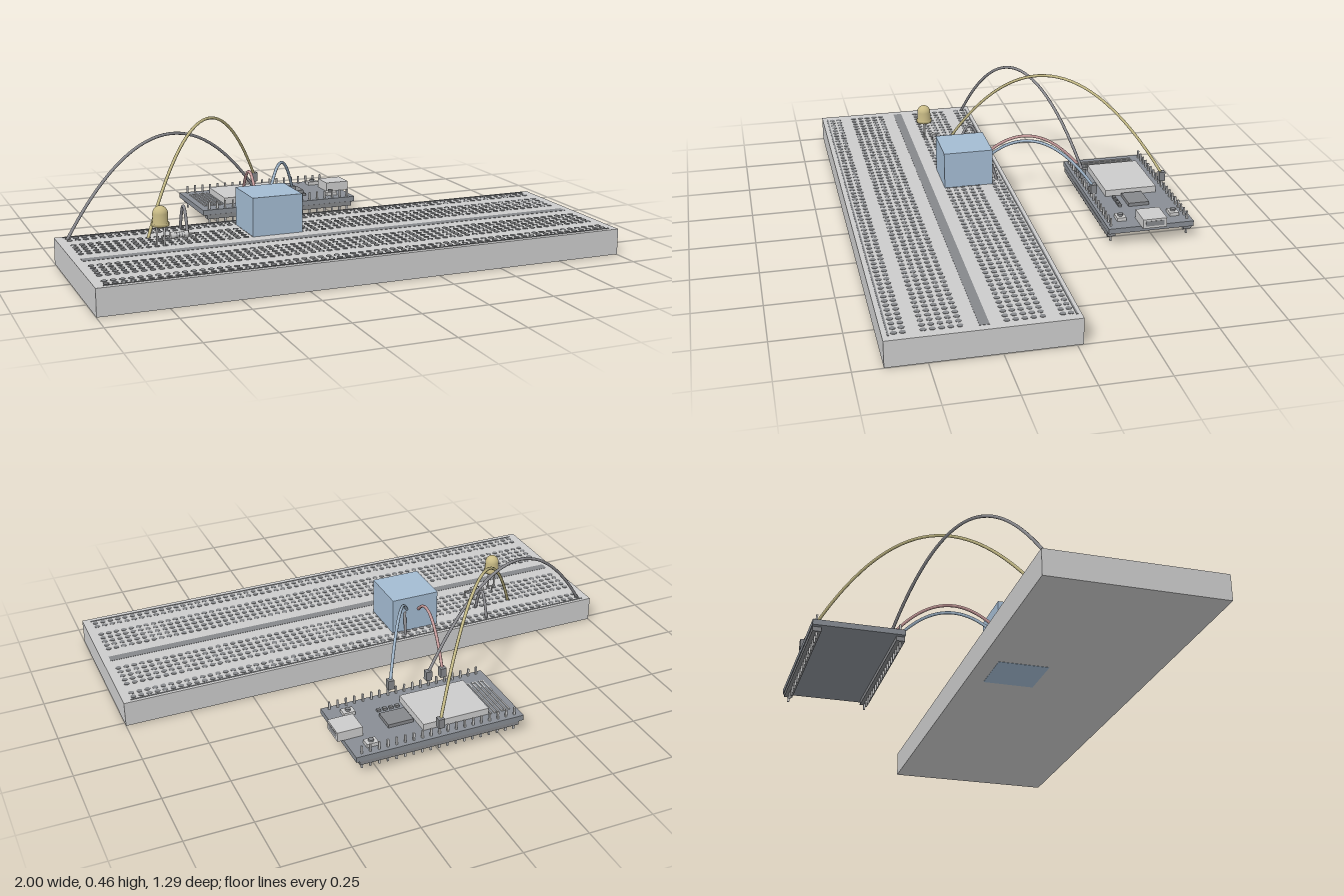
import * as THREE from 'three';
import { mergeGeometries } from 'three/addons/utils/BufferGeometryUtils.js';

const mat = (color = 0xcccccc) => new THREE.MeshStandardMaterial({ color });
const GREY = mat(), DARK = mat(0x85878a), PCB = mat(0x888d94), BLUE = mat(0xa3bbd2), AMBER = mat(0xc9bb85);
const WIRE_GREY = mat(0x8c8c90), WIRE_YELLOW = mat(0xc4ba86), WIRE_RED = mat(0xc59a9a), WIRE_BLUE = mat(0x9db2c6);

// Box geometry given by its limits on each axis
function box(x0, x1, y0, y1, z0, z1) {
  return new THREE.BoxGeometry(x1 - x0, y1 - y0, z1 - z0)
    .translate((x0 + x1) / 2, (y0 + y1) / 2, (z0 + z1) / 2);
}

function add(parent, name, geometries, material) {
  const list = Array.isArray(geometries) ? geometries : [geometries];
  const mesh = new THREE.Mesh(list.length > 1 ? mergeGeometries(list) : list[0], material);
  mesh.name = name;
  parent.add(mesh);
  return mesh;
}

function group(parent, name) {
  const g = new THREE.Group();
  g.name = name;
  parent.add(g);
  return g;
}

// Arched wire between two points, with its highest point near peak
function wire(parent, name, a, b, peak, material) {
  const start = new THREE.Vector3(...a), end = new THREE.Vector3(...b);
  const control = start.clone().add(end).multiplyScalar(0.5);
  control.y = 2 * peak - control.y;
  const curve = new THREE.QuadraticBezierCurve3(start, control, end);
  add(parent, name, new THREE.TubeGeometry(curve, 40, 0.006, 8), material);
}

function buildBreadboard(parent) {
  const g = group(parent, 'breadboard');
  const top = 0.1;
  add(g, 'boardBody', box(-1, 1, 0.001, top, -0.022, 0.645), GREY);
  add(g, 'centreChannel', box(-0.97, 0.97, top - 0.01, top + 0.001, 0.29, 0.325), DARK);
  add(g, 'railStripes', [-0.006, 0.624].map(z =>
    box(-0.97, 0.97, top - 0.002, top + 0.002, z - 0.003, z + 0.003)), DARK);

  // Grid of contact holes: rails outside, two blocks of five rows inside
  const rows = [0.012, 0.04, 0.575, 0.604];
  for (let i = 0; i < 5; i++) rows.push(0.108 + i * 0.0305, 0.386 + i * 0.0305);
  const holes = [];
  for (const z of rows) {
    for (let i = 0; i < 63; i++) {
      holes.push(new THREE.CylinderGeometry(0.011, 0.011, 0.006, 8)
        .translate(-0.955 + i * 1.91 / 62, top - 0.0015, z));
    }
  }
  add(g, 'contactHoles', holes, DARK);
}

function buildController(parent) {
  const g = group(parent, 'controllerBoard');
  const top = 0.074;
  add(g, 'circuitBoard', box(-0.335, 0.333, 0.053, top, -0.645, -0.307), PCB);
  add(g, 'radioShield', box(-0.22, 0.045, top, 0.1, -0.587, -0.378), GREY);
  add(g, 'chip', box(0.055, 0.155, top, 0.088, -0.523, -0.44), DARK);
  add(g, 'usbSocket', box(0.258, 0.357, top, 0.111, -0.528, -0.434), GREY);
  add(g, 'usbOpening', box(0.35, 0.358, 0.083, 0.103, -0.517, -0.445), DARK);

  // Antenna traces joined alternately into a meander
  const antenna = [];
  for (let i = 0; i < 6; i++) {
    const x = -0.308 + i * 0.015;
    antenna.push(box(x, x + 0.005, top, top + 0.003, -0.59, -0.375));
    const z = i % 2 ? -0.59 : -0.38;
    if (i < 5) antenna.push(box(x, x + 0.02, top, top + 0.003, z, z + 0.005));
  }
  add(g, 'antenna', antenna, GREY);

  // Small surface parts beside the chip
  const small = [];
  for (let i = 0; i < 4; i++) small.push(box(0.06 + i * 0.025, 0.075 + i * 0.025, top, 0.083, -0.413, -0.4));
  add(g, 'surfaceComponents', small, DARK);

  // Two push buttons
  for (const z of [-0.587, -0.375]) {
    add(g, 'buttonBase', box(0.229, 0.275, top, 0.088, z - 0.018, z + 0.018), GREY);
    add(g, 'buttonCap', new THREE.CylinderGeometry(0.01, 0.01, 0.008, 16).translate(0.252, 0.092, z), DARK);
  }

  // Pin headers along both long edges
  for (const z of [-0.626, -0.322]) {
    add(g, 'headerStrip', box(-0.318, 0.318, 0.036, 0.054, z - 0.016, z + 0.016), DARK);
    const pins = [];
    for (let i = 0; i < 19; i++) {
      const x = -0.305 + i * 0.61 / 18;
      pins.push(box(x - 0.0035, x + 0.0035, 0.012, 0.105, z - 0.0035, z + 0.0035));
    }
    add(g, 'headerPins', pins, GREY);
  }
}

function buildLed(parent) {
  const g = group(parent, 'led');
  g.position.set(-0.665, 0, 0.233);
  const profile = [[0, 0.176], [0.032, 0.176], [0.032, 0.188], [0.028, 0.188], [0.028, 0.222]];
  for (let i = 1; i <= 8; i++) {
    const a = i * Math.PI / 16;
    profile.push([0.028 * Math.cos(a), 0.222 + 0.028 * Math.sin(a)]);
  }
  add(g, 'ledLens', new THREE.LatheGeometry(profile.map(p => new THREE.Vector2(...p)), 24), AMBER);
  add(g, 'ledLegs', [-0.014, 0.014].map(x => box(x - 0.003, x + 0.003, 0.09, 0.178, -0.003, 0.003)), GREY);
}

function buildResistor(parent) {
  const g = group(parent, 'resistor');
  g.position.set(-0.587, 0.126, 0.2);
  const rod = (r, length, x) => new THREE.CylinderGeometry(r, r, length, 14).rotateZ(Math.PI / 2).translate(x, 0, 0);
  add(g, 'resistorBody', [rod(0.01, 0.064, 0), rod(0.013, 0.016, -0.026), rod(0.013, 0.016, 0.026)], GREY);
  add(g, 'resistorBands', [-0.01, 0, 0.01].map(x => rod(0.0106, 0.004, x)), DARK);
  const leads = [rod(0.003, 0.13, 0)];
  for (const x of [-0.064, 0.064]) leads.push(new THREE.CylinderGeometry(0.003, 0.003, 0.036, 8).translate(x, -0.017, 0));
  add(g, 'resistorLeads', leads, GREY);
}

function buildWires(parent) {
  const g = group(parent, 'wires');
  const plugs = { red: [-0.16, 0.13, -0.322], grey: [-0.1, 0.13, -0.322], blue: [0.057, 0.13, -0.322], yellow: [-0.003, 0.13, -0.626] };
  wire(g, 'groundWire', [-0.96, 0.095, 0.015], plugs.grey, 0.43, WIRE_GREY);
  wire(g, 'signalWire', [-0.68, 0.095, 0.11], plugs.yellow, 0.457, WIRE_YELLOW);
  wire(g, 'powerWire', [-0.235, 0.18, 0.055], plugs.red, 0.26, WIRE_RED);
  wire(g, 'dataWire', [-0.185, 0.19, 0.055], plugs.blue, 0.286, WIRE_BLUE);
  wire(g, 'sensorGroundWire', [-0.175, 0.195, 0.055], [-0.165, 0.095, 0.02], 0.155, WIRE_GREY);
  wire(g, 'jumperWire', [-0.527, 0.095, 0.012], [-0.527, 0.095, 0.108], 0.195, WIRE_GREY);
  for (const [x, , z] of Object.values(plugs)) {
    add(g, 'wirePlug', box(x - 0.012, x + 0.012, 0.102, 0.14, z - 0.012, z + 0.012), DARK);
  }
}

export function createModel() {
  const model = new THREE.Group();
  model.name = 'breadboardCircuit';
  buildBreadboard(model);
  buildController(model);
  // Sensor block standing through the breadboard
  add(model, 'sensorBlock', box(-0.316, -0.121, 0, 0.247, 0.046, 0.241), BLUE);
  buildLed(model);
  buildResistor(model);
  buildWires(model);
  return model;
}
